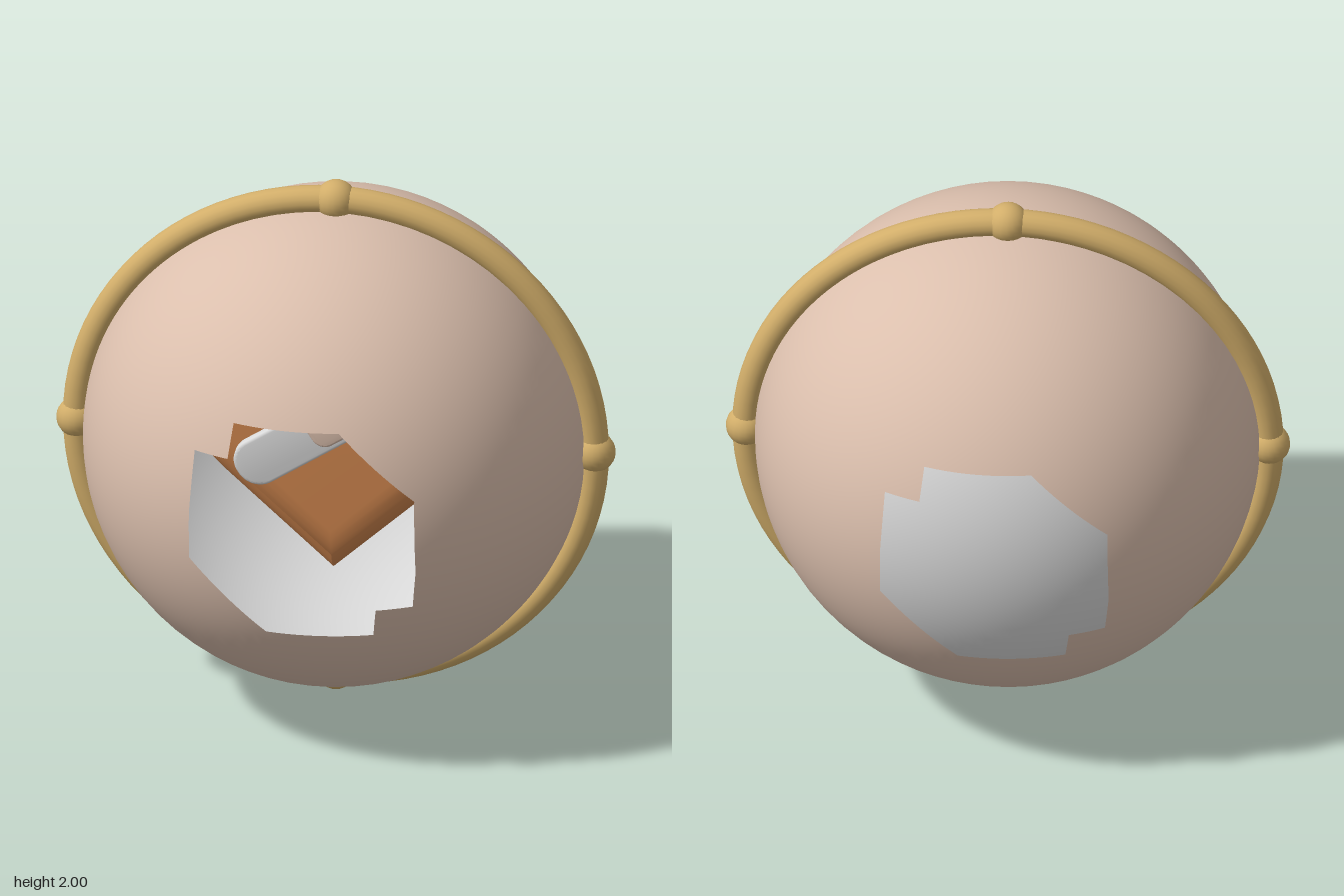
import * as THREE from 'three';
import { mergeVertices, toCreasedNormals } from 'three/addons/utils/BufferGeometryUtils.js';

const SHELL_R = 0.895, RING_R = 0.927, TUBE_R = 0.05, BEAD_R = 0.073;

// Stepped window outline, counter-clockwise about the shell's axis
const WINDOW = [
  [-0.25, 0.4], [-0.265, 0.28], [-0.39, 0.28], [-0.405, 0.05], [-0.405, -0.13], [-0.13, -0.4],
  [0.25, -0.4], [0.265, -0.28], [0.39, -0.28], [0.405, -0.13], [0.4, 0.15], [0.13, 0.4],
];

// Half sphere from the window edge out to the seam
function halfShellGeometry() {
  const steps = 10, rows = 18, cols = WINDOW.length * steps;
  const pos = [], nor = [], index = [];
  for (let i = 0; i <= cols; i++) {
    const k = Math.floor(i / steps) % WINDOW.length, t = (i % steps) / steps;
    const a = WINDOW[k], b = WINDOW[(k + 1) % WINDOW.length];
    const x = a[0] + (b[0] - a[0]) * t, y = a[1] + (b[1] - a[1]) * t;
    const phi = Math.atan2(y, x), start = Math.asin(Math.hypot(x, y) / SHELL_R);
    for (let j = 0; j <= rows; j++) {
      const polar = start + (Math.PI / 2 - start) * (j / rows);
      const n = [Math.sin(polar) * Math.cos(phi), Math.sin(polar) * Math.sin(phi), Math.cos(polar)];
      nor.push(...n);
      pos.push(...n.map((c) => c * SHELL_R));
      if (i < cols && j < rows) {
        const p = i * (rows + 1) + j, q = p + rows + 1;
        index.push(p, p + 1, q + 1, p, q + 1, q);
      }
    }
  }
  const g = new THREE.BufferGeometry();
  g.setAttribute('position', new THREE.Float32BufferAttribute(pos, 3));
  g.setAttribute('normal', new THREE.Float32BufferAttribute(nor, 3));
  g.setIndex(index);
  return g;
}

function heartShape() {
  const s = new THREE.Shape();
  s.moveTo(0, -0.5);
  s.lineTo(0.4, -0.13);
  s.bezierCurveTo(0.53, 0, 0.58, 0.1, 0.58, 0.2);
  s.bezierCurveTo(0.58, 0.42, 0.47, 0.52, 0.3, 0.52);
  s.bezierCurveTo(0.14, 0.52, 0.04, 0.42, 0, 0.25);
  s.bezierCurveTo(-0.04, 0.42, -0.14, 0.52, -0.3, 0.52);
  s.bezierCurveTo(-0.47, 0.52, -0.58, 0.42, -0.58, 0.2);
  s.bezierCurveTo(-0.58, 0.1, -0.53, 0, -0.4, -0.13);
  return s;
}

function roundedRect(w, h, r) {
  const s = new THREE.Shape(), x = w / 2 - r, y = h / 2 - r;
  s.absarc(x, y, r, 0, Math.PI / 2);
  s.absarc(-x, y, r, Math.PI / 2, Math.PI);
  s.absarc(-x, -y, r, Math.PI, Math.PI * 1.5);
  s.absarc(x, -y, r, Math.PI * 1.5, Math.PI * 2);
  return s;
}

// Extrusion with a soft bevel kept inside the outline, centred on z
function softExtrude(shape, thickness, bevelSize, bevelThickness, bevelSegments) {
  const depth = thickness - 2 * bevelThickness;
  const g = new THREE.ExtrudeGeometry(shape, {
    depth, bevelSize, bevelThickness, bevelSegments, bevelOffset: -bevelSize, curveSegments: 14,
  });
  g.translate(0, 0, -depth / 2);
  g.deleteAttribute('uv');
  g.deleteAttribute('normal');
  return toCreasedNormals(mergeVertices(g, 1e-4), 0.7);
}

export function createModel() {
  const mat = (name, color, side = THREE.FrontSide) => {
    const m = new THREE.MeshStandardMaterial({ color, side });
    m.name = name;
    return m;
  };
  const blush = mat('blush', 0xdbbfad, THREE.DoubleSide);
  const white = mat('soft white', 0xd8d8d8, THREE.DoubleSide);
  const gold = mat('gold', 0xd2ae6a);
  const copper = mat('copper orange', 0xd0864e);

  const model = new THREE.Group();
  model.name = 'heartLocket';
  const body = new THREE.Group();
  body.name = 'locketBody';
  body.position.set(0, 1, 0.01);
  model.add(body);

  const add = (parent, name, geometry, material, x = 0, y = 0, z = 0) => {
    const mesh = new THREE.Mesh(geometry, material);
    mesh.name = name;
    mesh.position.set(x, y, z);
    parent.add(mesh);
    return mesh;
  };

  // Two matching shell halves, each with a stepped window
  const half = halfShellGeometry();
  add(body, 'frontShell', half, blush);
  add(body, 'backShell', half, blush).rotation.y = Math.PI;

  // White lining bowl inside the back half
  const lining = new THREE.SphereGeometry(0.88, 64, 24, 0, Math.PI * 2, 0, Math.PI / 2);
  lining.rotateX(-Math.PI / 2);
  lining.scale(1, 1, 0.955);
  add(body, 'backLining', lining, white);

  // Gold seam ring with four beads
  add(body, 'seamRing', new THREE.TorusGeometry(RING_R, TUBE_R, 16, 96), gold);
  const bead = new THREE.SphereGeometry(BEAD_R, 20, 14);
  ['left', 'top', 'right', 'bottom'].forEach((side, i) => {
    const a = (i * Math.PI) / 2;
    add(body, side + 'Bead', bead, gold, RING_R * Math.cos(a), RING_R * Math.sin(a), 0);
  });

  // Puffy heart in the middle
  add(body, 'heart', softExtrude(heartShape(), 0.26, 0.13, 0.1, 8), copper);

  // Slanted bandage across the heart
  const bandage = new THREE.Group();
  bandage.name = 'bandage';
  bandage.position.set(0, 0.115, 0.14);
  bandage.rotation.z = 0.58;
  body.add(bandage);
  add(bandage, 'bandageStrip', softExtrude(roundedRect(0.78, 0.18, 0.085), 0.05, 0.012, 0.012, 3), white);
  add(bandage, 'bandagePad', softExtrude(roundedRect(0.165, 0.14, 0.05), 0.03, 0.008, 0.008, 3), blush, 0, 0, 0.02);

  return model;
}
